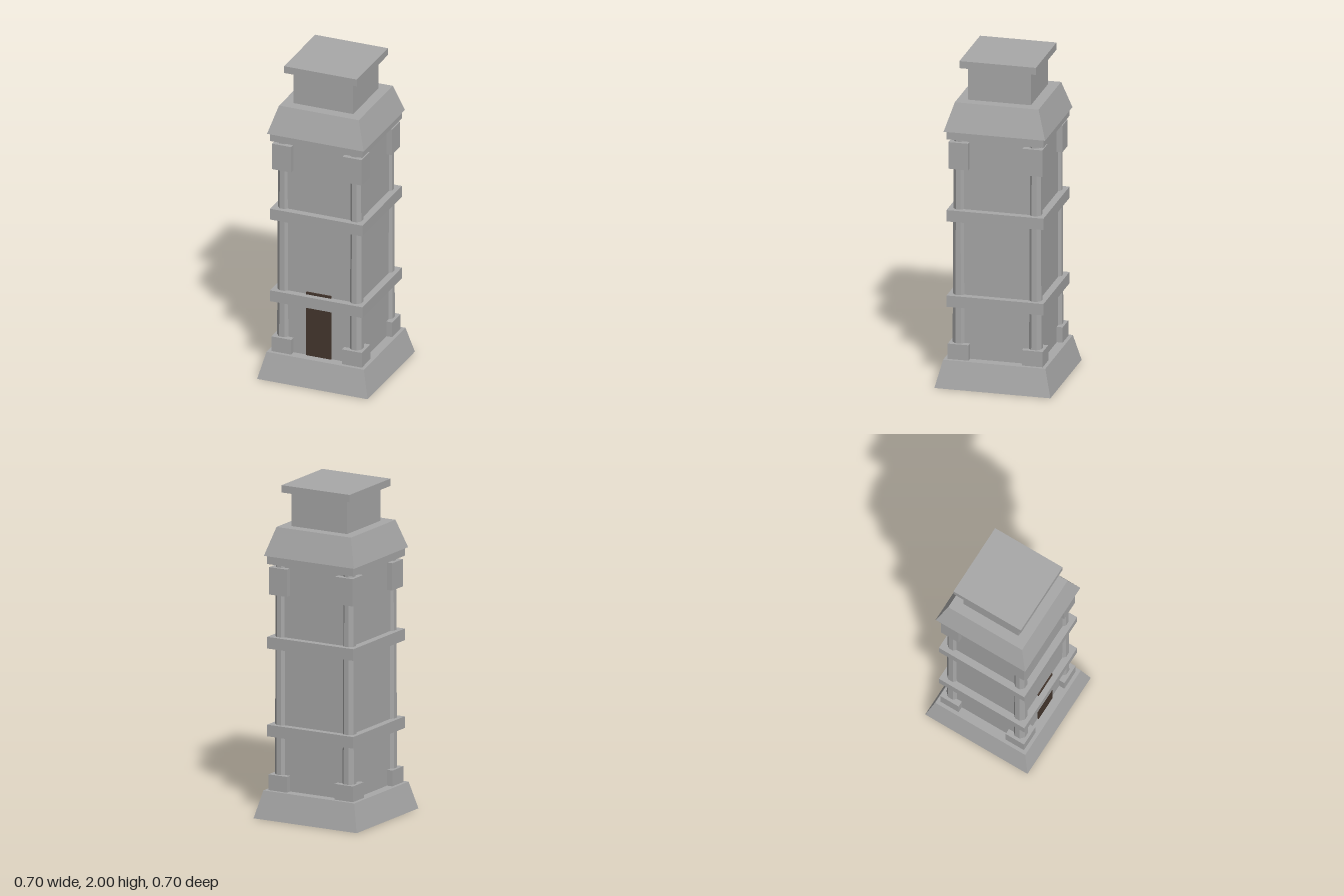
import * as THREE from 'three';

export function createModel() {
  const tower = new THREE.Group();
  tower.name = 'stoneTower';
  const stone = new THREE.MeshStandardMaterial({ color: 0xa8a8a8 });
  stone.name = 'grey stone';
  const wood = new THREE.MeshStandardMaterial({ color: 0x44362d });
  wood.name = 'dark wood';

  function add(name, geometry, x = 0, z = 0, material = stone) {
    const mesh = new THREE.Mesh(geometry, material);
    mesh.name = name;
    mesh.position.x = x;
    mesh.position.z = z;
    tower.add(mesh);
  }

  // Square or round-cornered post between two heights, given the half width across its flats
  function prism(sides, y0, y1, bottom, top = bottom) {
    const k = 1 / Math.cos(Math.PI / sides);
    const g = new THREE.CylinderGeometry(top * k, bottom * k, y1 - y0, sides, 1, false, Math.PI / sides)
      .translate(0, (y0 + y1) / 2, 0).toNonIndexed();
    g.computeVertexNormals();
    return g;
  }

  // Stacked square courses: name, bottom, top, lower half width, upper half width
  const courses = [
    ['base', 0, 0.165, 0.352, 0.31],
    ['shaft', 0.165, 1.53, 0.252, 0.25],
    ['lowerBand', 0.49, 0.56, 0.294, 0.294],
    ['middleBand', 1.02, 1.09, 0.294, 0.294],
    ['cornice', 1.53, 1.58, 0.294, 0.294],
    ['slopedRoof', 1.58, 1.75, 0.308, 0.254],
    ['neck', 1.75, 1.956, 0.19, 0.19],
    ['cap', 1.956, 2, 0.232, 0.232],
  ];
  for (const [name, y0, y1, bottom, top] of courses) add(name, prism(4, y0, y1, bottom, top));

  // Corner columns with their foot and head blocks
  for (const sx of [-1, 1]) for (const sz of [-1, 1]) {
    add('cornerColumn', prism(8, 0.165, 1.53, 0.04, 0.034), sx * 0.23, sz * 0.23);
    add('columnFoot', prism(4, 0.165, 0.26, 0.063), sx * 0.225, sz * 0.225);
    add('columnHead', prism(4, 1.345, 1.51, 0.06), sx * 0.225, sz * 0.225);
  }

  // Door on the front, rising just above the lower band
  add('door', new THREE.BoxGeometry(0.157, 0.41, 0.009).translate(0, 0.37, 0), 0, 0.255, wood);

  return tower;
}
